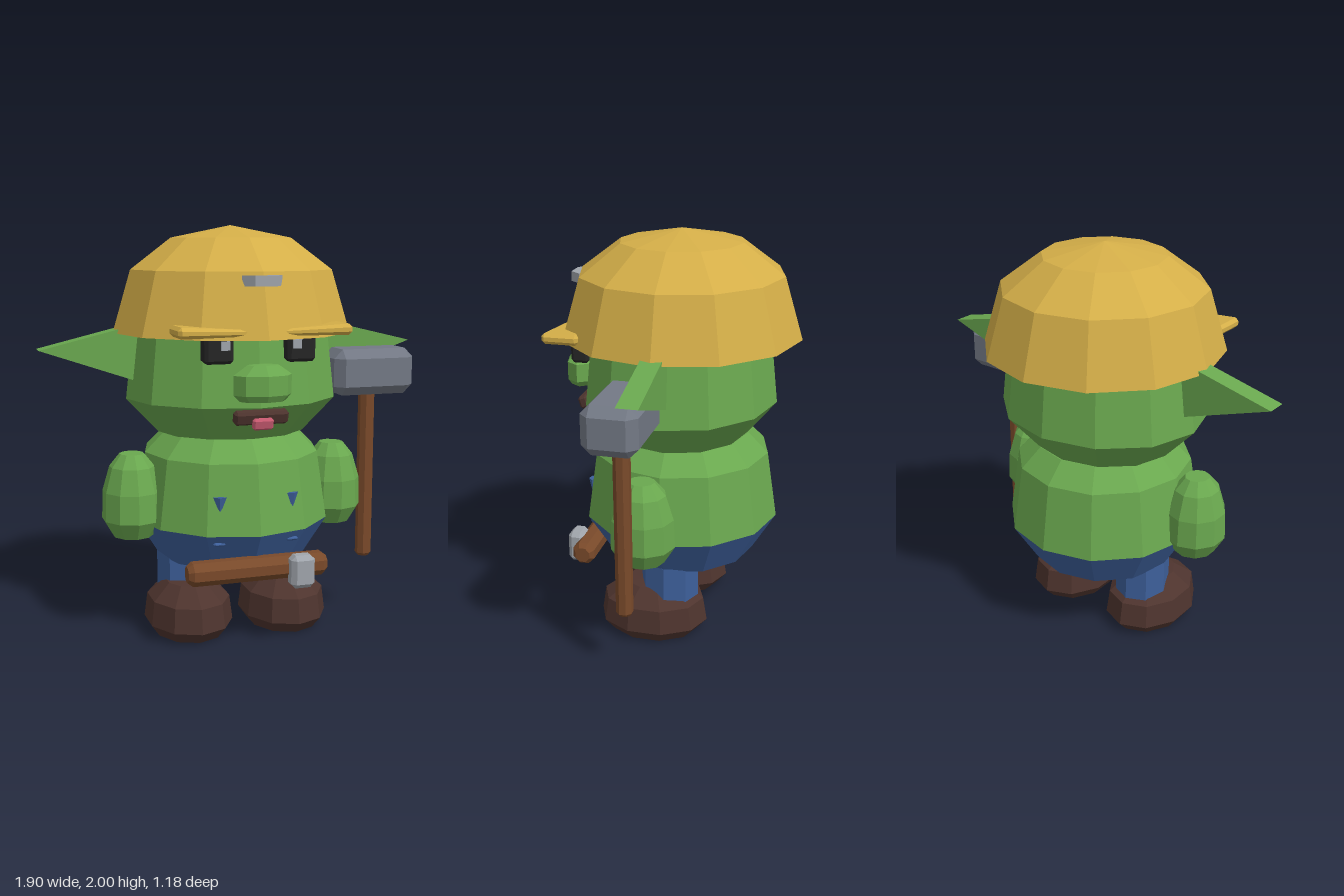
import * as THREE from 'three';
import { ConvexGeometry } from 'three/addons/geometries/ConvexGeometry.js';

const mat = (name, color, side = THREE.FrontSide) => {
  const m = new THREE.MeshStandardMaterial({ color, side });
  m.name = name;
  return m;
};

// Faceted copy with one normal per face
function facet(geo) {
  const g = geo.index ? geo.toNonIndexed() : geo;
  g.computeVertexNormals();
  return g;
}

// Faceted solid of revolution; profile of [radius, y] from bottom to top
function turned(profile, sides, sx = 1, sz = 1) {
  const geo = new THREE.LatheGeometry(profile.map(([r, y]) => new THREE.Vector2(r, y)), sides);
  return facet(geo.scale(sx, 1, sz));
}

// Box with all edges cut off by b
function chamferBox(w, h, d, b) {
  const pts = [];
  const [x, y, z] = [w / 2, h / 2, d / 2];
  for (const i of [-1, 1]) for (const j of [-1, 1]) for (const k of [-1, 1]) {
    pts.push(new THREE.Vector3(i * x, j * (y - b), k * (z - b)));
    pts.push(new THREE.Vector3(i * (x - b), j * y, k * (z - b)));
    pts.push(new THREE.Vector3(i * (x - b), j * (y - b), k * z));
  }
  return new ConvexGeometry(pts);
}

export function createModel() {
  const model = new THREE.Group();
  model.name = 'goblinWorker';

  const green = mat('skinGreen', 0x6aa84f);
  const gold = mat('helmetGold', 0xd4ae48, THREE.DoubleSide);
  const blue = mat('trouserBlue', 0x3d5f9a);
  const boot = mat('bootBrown', 0x4e342e);
  const wood = mat('woodBrown', 0x7a4a2a);
  const slate = mat('hammerGrey', 0x737985);
  const steel = mat('steelGrey', 0xa0a5ac);
  const black = mat('eyeBlack', 0x262626);
  const pink = mat('tonguePink', 0xc85a70);

  const add = (name, geo, material, x = 0, y = 0, z = 0) => {
    const mesh = new THREE.Mesh(geo, material);
    mesh.name = name;
    mesh.position.set(x, y, z);
    model.add(mesh);
    return mesh;
  };

  // Torso and trousers
  add('torso', turned([[0.49, 0.565], [0.44, 0.9], [0.34, 1.0], [0, 1.0]], 12), green);
  add('trousers', turned([[0.37, 0.37], [0.49, 0.565]], 12), blue);
  add('torsoUnderside', turned([[0, 0.37], [0.37, 0.37]], 12), green);

  // Head and face
  add('head', turned([[0, 1.0], [0.37, 1.0], [0.53, 1.17], [0.49, 1.51], [0.44, 1.6], [0, 1.6]], 12, 1, 0.9), green);
  add('nose', turned([[0, -0.085], [0.11, -0.085], [0.14, -0.055], [0.14, 0.035], [0.075, 0.08], [0, 0.085]], 8, 1, 0.6),
    green, 0, 1.293, 0.5);
  add('mouth', chamferBox(0.26, 0.065, 0.05, 0.012), boot, 0, 1.13, 0.475).rotation.x = 0.3;
  add('tongue', chamferBox(0.1, 0.055, 0.03, 0.01), pink, 0, 1.102, 0.505).rotation.x = 0.2;

  // Helmet shell and badge
  add('helmet', turned([[0.59, 1.49], [0.5, 1.79], [0.3, 1.94], [0, 2.0]], 12), gold);
  const badge = [];
  for (const y of [-0.024, 0.024]) for (const s of [-1, 1]) {
    badge.push(new THREE.Vector3(s * 0.085, y, 0.42), new THREE.Vector3(s * 0.095, y, 0.485),
      new THREE.Vector3(s * 0.05, y, 0.54));
  }
  add('helmetBadge', new ConvexGeometry(badge), steel, 0, 1.75, 0);

  // Ear outline, extruded to a flat wedge
  const earShape = new THREE.Shape([[0.4, 1.23], [0.95, 1.42], [0.4, 1.552]].map(p => new THREE.Vector2(...p)));

  // Paired parts
  for (const s of [-1, 1]) {
    const side = s > 0 ? 'left' : 'right';

    const ear = new THREE.ExtrudeGeometry(earShape, { depth: 0.1, bevelEnabled: false });
    ear.translate(0, 0, -0.05);
    if (s < 0) ear.rotateY(Math.PI);
    add(side + 'Ear', ear, green);

    add(side + 'Eye', chamferBox(0.136, 0.18, 0.09, 0.015), black, s * 0.198, 1.468, 0.438);
    add(side + 'EyeGlint', new THREE.BoxGeometry(0.042, 0.042, 0.009), steel, s * 0.172, 1.462, 0.485);

    // Brow plate, thinner toward the middle
    const brow = chamferBox(0.36, 0.052, 0.18, 0.016);
    const p = brow.attributes.position;
    for (let i = 0; i < p.count; i++) {
      if (p.getX(i) * s < 0) {
        p.setY(i, p.getY(i) * 0.55 - 0.008);
        p.setZ(i, p.getZ(i) * 0.75);
      }
    }
    add(side + 'Brow', facet(brow), gold, s * 0.23, 1.529, 0.485);

    add(side + 'Arm', turned([[0, 0.505], [0.1, 0.505], [0.15, 0.59], [0.145, 0.73], [0.11, 0.85], [0.06, 0.912], [0, 0.912]], 10, 1, 1.06),
      green, s * 0.52, 0, 0.065);
    add(side + 'Leg', turned([[0, 0.2], [0.135, 0.2], [0.135, 0.39], [0, 0.39]], 8, 1, 1.07), blue, s * 0.25, 0, 0);
    add(side + 'Boot', turned([[0, 0], [0.8, 0], [1, 0.06], [0.93, 0.18], [0.52, 0.26], [0, 0.268]], 10, 0.217, 0.275),
      boot, s * 0.248, 0, 0.085);

    // Strap ends showing on the belly
    const strap = facet(new THREE.ConeGeometry(0.032, 0.08, 4).rotateX(Math.PI));
    strap.scale(1, 1, 0.5);
    add(side + 'Strap', strap, blue, s * 0.18, 0.71, 0.422).rotation.y = s * 0.26;
    add(side + 'StrapButton', chamferBox(0.06, 0.02, 0.03, 0.008), blue, s * 0.18, 0.522, 0.412);
  }

  // Small belt hammer, lying sideways
  const beltHandle = turned([[0, -0.345], [0.04, -0.345], [0.06, -0.32], [0.06, 0.32], [0.04, 0.345], [0, 0.345]], 8);
  beltHandle.rotateY(Math.PI / 8).rotateZ(Math.PI / 2);
  add('beltHammerHandle', beltHandle, wood, 0, 0.395, 0.432);
  add('beltHammerHead', chamferBox(0.118, 0.16, 0.085, 0.022), steel, 0.2, 0.385, 0.498);

  // Long hammer beside the left hand
  add('longHammerHandle', turned([[0, 0.305], [0.03, 0.305], [0.041, 0.32], [0.041, 1.2], [0, 1.2]], 8).rotateY(Math.PI / 8),
    wood, 0.695, 0, 0.105);
  add('longHammerHead', chamferBox(0.425, 0.23, 0.26, 0.045), slate, 0.692, 1.28, 0.105);

  return model;
}
